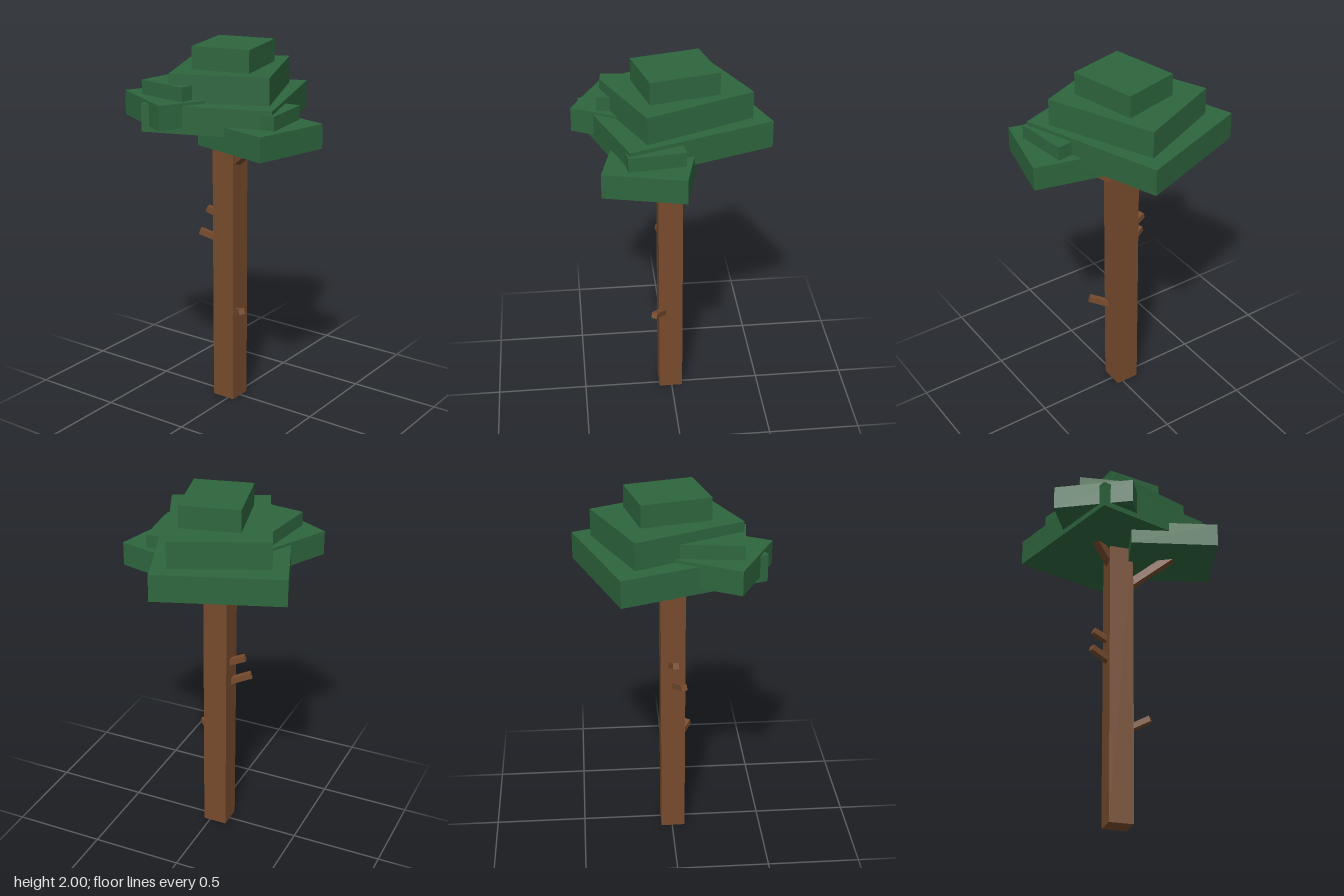
import * as THREE from 'three';

export function createModel() {
  const tree = new THREE.Group();
  tree.name = 'tree';
  const bark = new THREE.MeshStandardMaterial({ name: 'bark brown', color: 0x774b2d });
  const leaf = new THREE.MeshStandardMaterial({ name: 'leaf green', color: 0x2e663e });

  const add = (name, w, h, d, material) => {
    const mesh = new THREE.Mesh(new THREE.BoxGeometry(w, h, d), material);
    mesh.name = name;
    tree.add(mesh);
    return mesh;
  };

  // Foliage slab: centre x, z; bottom and top y; width, depth, turn about y
  const slab = (name, x, z, y0, y1, w, d, turn) => {
    const mesh = add(name, w, y1 - y0, d, leaf);
    mesh.position.set(x, (y0 + y1) / 2, z);
    mesh.rotation.y = turn;
  };

  // Square branch running between two points
  const branch = (name, from, to, thick) => {
    const a = new THREE.Vector3(...from), b = new THREE.Vector3(...to);
    const mesh = add(name, thick, thick, a.distanceTo(b), bark);
    mesh.position.copy(a).add(b).multiplyScalar(0.5);
    mesh.lookAt(b);
  };

  // Trunk
  add('trunk', 0.132, 1.64, 0.134, bark).position.set(-0.005, 0.82, -0.031);

  // Main crown, three stacked slabs
  slab('crownLower', 0.02, -0.065, 1.59, 1.735, 0.797, 0.682, 0.345);
  slab('crownMiddle', 0.028, -0.046, 1.735, 1.88, 0.612, 0.52, 0.412);
  slab('crownTop', 0.021, -0.024, 1.88, 2, 0.373, 0.317, 0.235);

  // Front side cluster
  slab('frontCluster', -0.122, 0.24, 1.51, 1.64, 0.427, 0.473, -0.236);
  slab('frontClusterTop', -0.127, 0.214, 1.64, 1.715, 0.292, 0.36, 0.12);

  // Back side cluster
  slab('backCluster', -0.203, -0.187, 1.62, 1.75, 0.473, 0.427, -0.476);
  slab('backClusterTop', -0.182, -0.181, 1.75, 1.825, 0.36, 0.293, -0.132);

  // Branches carrying the clusters
  branch('frontBranch', [-0.018, 1.37, 0.01], [-0.16, 1.55, 0.265], 0.045);
  branch('backBranch', [-0.02, 1.51, -0.08], [-0.11, 1.65, -0.22], 0.045);

  // Broken stubs on the trunk
  branch('frontStub', [-0.035, 0.52, 0.01], [-0.105, 0.565, 0.117], 0.033);
  branch('backLowerStub', [-0.01, 0.913, -0.08], [-0.057, 0.956, -0.195], 0.033);
  branch('backUpperStub', [0.006, 1.04, -0.08], [-0.014, 1.078, -0.175], 0.033);

  return tree;
}
